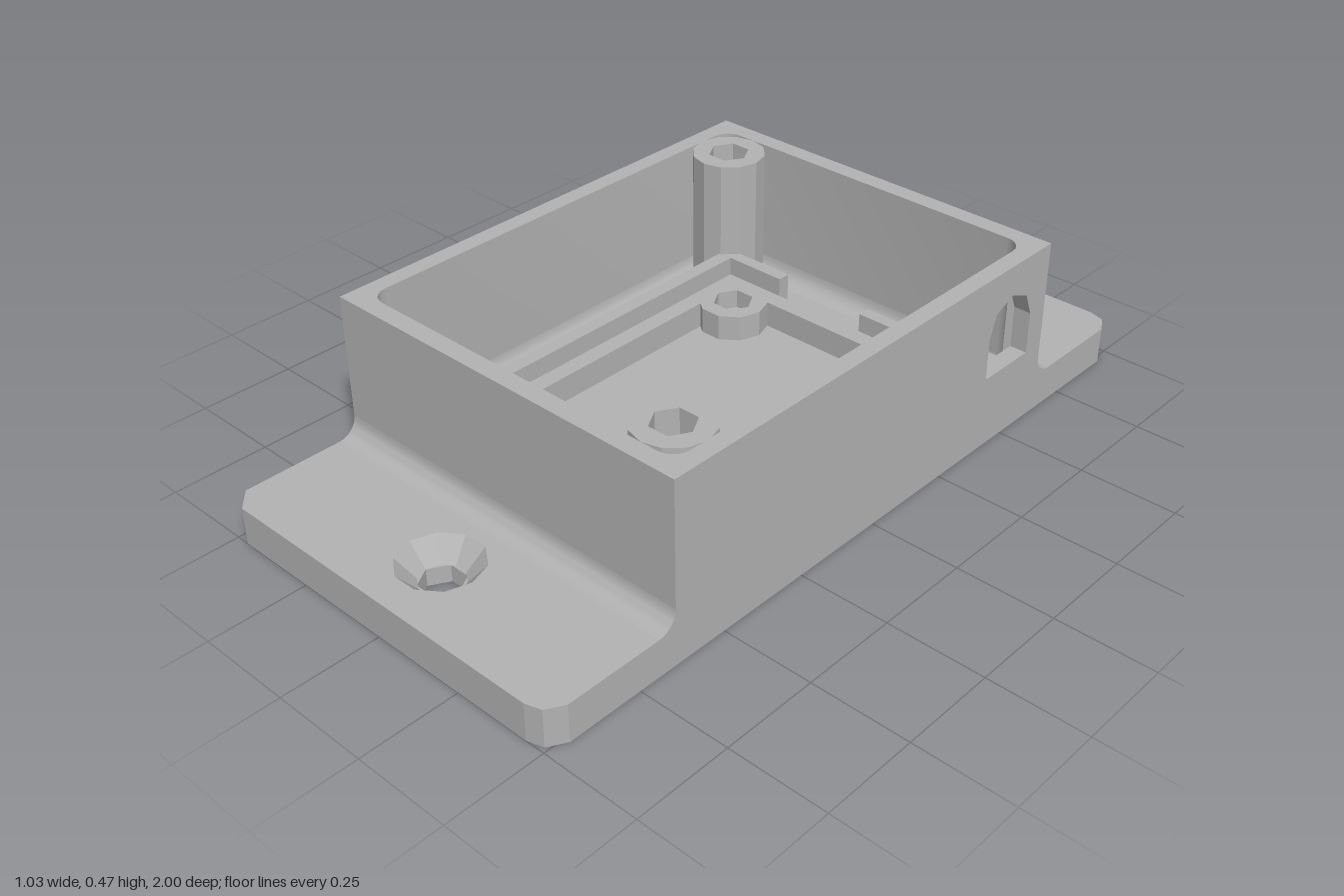
import * as THREE from 'three';
import { toCreasedNormals } from 'three/addons/utils/BufferGeometryUtils.js';

const W = 0.515, L = 0.645, H = 0.465, FLOOR = 0.097; // box half width, half length, top, plate top
const IW = 0.47, IL = 0.598, R = 0.046;               // cavity half sizes, inner radius

const pts = (list) => list.map(([a, b]) => new THREE.Vector2(a, b));
const rect = (x0, z0, x1, z1) => pts([[x0, z0], [x1, z0], [x1, z1], [x0, z1]]);

function polygon(cx, cz, r, n, turn = 0) {
  return Array.from({ length: n }, (_, i) => {
    const a = turn + (i / n) * Math.PI * 2;
    return new THREE.Vector2(cx + r * Math.cos(a), cz + r * Math.sin(a));
  });
}

function shapeOf(outline, holes = []) {
  const s = new THREE.Shape(outline);
  holes.forEach((h) => s.holes.push(new THREE.Path(h)));
  return s;
}

// Plan outline (x, z) raised from y0 to y1
function slab(outline, holes, y0, y1) {
  const g = new THREE.ExtrudeGeometry(shapeOf(outline, holes), { depth: y1 - y0, bevelEnabled: false });
  return g.rotateX(Math.PI / 2).translate(0, y1, 0);
}

// Side outline (z, y) extended from x0 to x1
function sideSlab(outline, holes, x0, x1) {
  const g = new THREE.ExtrudeGeometry(shapeOf(outline, holes), { depth: x1 - x0, bevelEnabled: false });
  return g.rotateY(-Math.PI / 2).translate(x1, 0, 0);
}

// Rounded rectangle in plan, as a closed loop
function roundedLoop(hx, hz, r, n = 5) {
  const out = [];
  [[1, 1], [-1, 1], [-1, -1], [1, -1]].forEach(([sx, sz], q) => {
    for (let i = 0; i <= n; i++) {
      const a = (q + i / n) * Math.PI / 2;
      out.push([sx * (hx - r) + r * Math.cos(a), sz * (hz - r) + r * Math.sin(a)]);
    }
  });
  return out;
}

// Concave fillet where the cavity walls meet the floor
function floorCove(radius, steps = 6) {
  const pos = [], index = [];
  let n = 0;
  for (let i = 0; i <= steps; i++) {
    const a = (i / steps) * Math.PI / 2;
    const inset = radius * (1 - Math.cos(a));
    const y = FLOOR + radius * (1 - Math.sin(a)) + 0.0005;
    const loop = roundedLoop(IW - inset, IL - inset, R - inset);
    n = loop.length;
    loop.forEach(([x, z]) => pos.push(x, y, z));
  }
  for (let i = 0; i < steps; i++) {
    for (let k = 0; k < n; k++) {
      const a0 = i * n + k, a1 = i * n + (k + 1) % n;
      index.push(a0, a0 + n, a1, a1, a0 + n, a1 + n);
    }
  }
  const g = new THREE.BufferGeometry();
  g.setAttribute('position', new THREE.Float32BufferAttribute(pos, 3));
  g.setIndex(index);
  return g;
}

export function createModel() {
  const group = new THREE.Group();
  const grey = new THREE.MeshStandardMaterial({ color: 0xb2b2b2 });
  grey.name = 'grey';
  const openGrey = grey;

  const add = (name, geometry, smooth = false) => {
    const mesh = new THREE.Mesh(smooth ? toCreasedNormals(geometry, 0.6) : geometry, openGrey);
    mesh.name = name;
    group.add(mesh);
    return mesh;
  };

  // Base plate with clipped corners: hex holes below, round countersinks above
  const plate = pts([
    [-W, -0.955], [-0.465, -1], [0.45, -1], [0.49, -0.988], [W, -0.945],
    [W, 0.945], [0.49, 0.988], [0.45, 1], [-0.465, 1], [-W, 0.955],
  ]);
  const mounts = [-0.825, 0.825];
  const seatY = 0.045;
  add('basePlateLower', slab(plate, mounts.map((z) => polygon(0, z, 0.055, 6)), 0, seatY));
  add('basePlateUpper', slab(plate, mounts.map((z) => polygon(0, z, 0.103, 10)), seatY, FLOOR));
  mounts.forEach((z) => {
    // Inward-facing cone
    const cone = new THREE.CylinderGeometry(0.103, 0.055, FLOOR - seatY, 10, 1, true);
    cone.rotateY(Math.PI / 2).scale(-1, 1, 1);
    const idx = cone.index;
    // The mirrored scale flips the facing; its normals are rebuilt to suit
    const flat = cone.toNonIndexed();
    if (idx) flat.computeVertexNormals();
    add('countersink', flat.translate(0, (FLOOR + seatY) / 2, z));
  });

  // Three walls with rounded inner corners, open toward +x
  const inner = roundedLoop(IW, IL, R).map(([x, z]) => [x, z]);
  const uShape = [[IW, L], [-W, L], [-W, -L], [IW, -L]];
  const half = inner.length / 4;
  const innerPath = [...inner.slice(0, half * 4)].reverse();
  add('boxWalls', slab(pts([...uShape, ...innerPath]), [], FLOOR, H), true);

  // Right-hand wall with the arched cable port
  const port = pts([
    [-0.418, 0.19], [-0.418, 0.3], [-0.44, 0.36], [-0.5, 0.385],
    [-0.56, 0.36], [-0.585, 0.3], [-0.585, 0.19],
  ]);
  add('portWall', sideSlab(rect(-L, FLOOR, L, H), [port], IW, W));
  add('cavityCove', floorCove(0.045), true);

  // Outer fillets between box ends and flanges
  [1, -1].forEach((s) => {
    const f = 0.05, prof = [[L - 0.01, FLOOR - 0.005], [L + f, FLOOR - 0.005]];
    for (let i = 0; i <= 8; i++) {
      const a = (i / 8) * Math.PI / 2;
      prof.push([L + f - f * Math.sin(a), FLOOR + f - f * Math.cos(a)]);
    }
    prof.push([L - 0.01, FLOOR + f]);
    add('flangeFillet', sideSlab(pts(prof.map(([z, y]) => [s * z, y])), [], -W, W), true);
  });

  // Upright posts with blind hex holes
  const post = (name, x, z, r, sides, top, hole, bottom) => {
    add(name, slab(polygon(x, z, r, sides), [polygon(x, z, hole, 6)], FLOOR - 0.005, top));
    add(name + 'HoleBottom', slab(polygon(x, z, hole, 6), [], FLOOR - 0.005, bottom));
  };
  [-1, 1].forEach((s) => {
    post('lidPost', s * 0.378, s * 0.503, 0.095, 12, H, 0.053, 0.2);
    post('boardPost', s * 0.203, s * 0.328, 0.09, 10, 0.165, 0.052, 0.115);
  });

  // Board ledge frame and the two bracket walls around it
  add('boardLedge', slab(rect(-0.3, -0.424, 0.298, 0.417), [rect(-0.253, -0.378, 0.249, 0.369)], FLOOR - 0.005, 0.165));
  [-1, 1].forEach((s) => {
    const bracket = [
      [0.13, -0.458], [0.336, -0.458], [0.336, 0.453], [0.13, 0.453],
      [0.13, 0.417], [0.298, 0.417], [0.298, -0.424], [0.13, -0.424],
    ];
    add('boardBracket', slab(pts(bracket.map(([x, z]) => [s * x, z])), [], FLOOR - 0.005, 0.214));
  });

  // Cable rest below the port
  add('cableRest', slab(rect(0.305, -0.54, IW, -0.467), [], FLOOR - 0.005, 0.18));

  return group;
}
